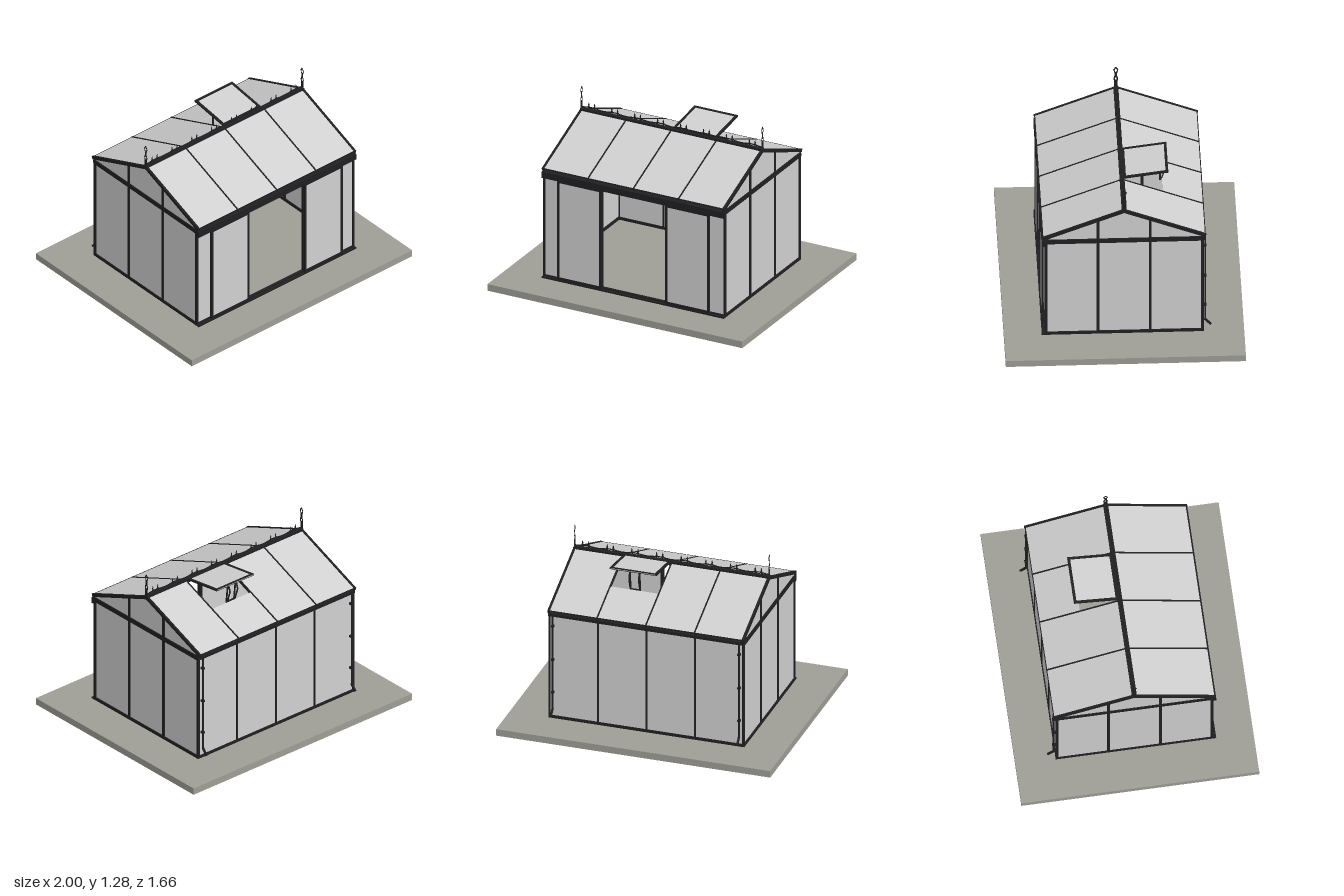
import * as THREE from 'three';

export function createModel() {
  const root = new THREE.Group();
  root.name = 'greenhouse';

  const mat = (name, color, side = THREE.FrontSide) => {
    const m = new THREE.MeshStandardMaterial({ color, side });
    m.name = name;
    return m;
  };
  const stone = mat('concrete', 0x9e9e96);
  const black = mat('black frame', 0x202022, THREE.DoubleSide);
  const glass = mat('frosted glass', 0xd0d0d0, THREE.DoubleSide);

  const add = (name, geo, m) => {
    const mesh = new THREE.Mesh(geo, m);
    mesh.name = name;
    root.add(mesh);
    return mesh;
  };
  // Axis-aligned box from its limits
  const box = (name, m, x0, x1, y0, y1, z0, z1) => {
    const b = add(name, new THREE.BoxGeometry(x1 - x0, y1 - y0, z1 - z0), m);
    b.position.set((x0 + x1) / 2, (y0 + y1) / 2, (z0 + z1) / 2);
    return b;
  };
  // Sloping bar in a plane of constant x, between [y, z] points
  const bar = (name, m, x, [y0, z0], [y1, z1], w, h) => {
    const b = add(name, new THREE.BoxGeometry(w, h, Math.hypot(y1 - y0, z1 - z0)), m);
    b.position.set(x, (y0 + y1) / 2, (z0 + z1) / 2);
    b.rotation.x = -Math.atan2(y1 - y0, z1 - z0);
    return b;
  };
  const shapeOf = pts => new THREE.Shape(pts.map(p => new THREE.Vector2(p[0], p[1])));

  // Slab
  box('slab', stone, -1, 1, 0, 0.05, -0.83, 0.83);

  const W = 0.715, D = 0.55;
  const roofY = z => 1.108 - 0.4 * Math.abs(z);

  // Base sills, eaves and corner posts
  for (const s of [-1, 1]) {
    const z = s * (D - 0.01), x = s * (W - 0.0075);
    box('longSill', black, -W, W, 0.055, 0.075, z - 0.01, z + 0.01);
    box('longEave', black, -W, W, 0.84, 0.862, z - 0.015, z + 0.015);
    box('gableSill', black, x - 0.0075, x + 0.0075, 0.055, 0.078, -D, D);
    box('gableTie', black, x - 0.0075, x + 0.0075, 0.835, 0.87, -D, D);
    for (const t of [-1, 1]) {
      const zc = t * (D - 0.01);
      box('cornerPost', black, x - 0.0075, x + 0.0075, 0.055, 0.85, zc - 0.01, zc + 0.01);
    }

    // Gable glazing and mullions
    const gable = add('gableGlass', new THREE.ShapeGeometry(shapeOf([
      [-0.54, 0.06], [0.54, 0.06], [0.54, roofY(0.54) - 0.01], [0, 1.1], [-0.54, roofY(0.54) - 0.01]])), glass);
    gable.rotation.y = s * Math.PI / 2;
    gable.position.x = x;
    for (const t of [-0.18, 0.18])
      box('gableMullion', black, x - 0.007, x + 0.007, 0.06, roofY(t), t - 0.01, t + 0.01);
  }

  // Back wall
  box('backGlass', glass, -0.7, 0.7, 0.06, 0.85, -0.542, -0.538);
  for (const x of [-0.355, 0, 0.355])
    box('backMullion', black, x - 0.006, x + 0.006, 0.06, 0.85, -0.55, -0.532);

  // Front wall: fixed panes, sliding doors slid open, and their track
  box('doorTrack', black, -W, W, 0.815, 0.836, 0.535, 0.57);
  box('frontGutter', black, -W, W, 0.836, 0.862, 0.54, 0.57);
  for (const s of [-1, 1]) {
    const span = (name, m, a, b, ...r) => box(name, m, Math.min(s * a, s * b), Math.max(s * a, s * b), ...r);
    span('frontGlass', glass, 0.26, 0.7, 0.06, 0.84, 0.538, 0.542);
    span('doorJamb', black, 0.25, 0.266, 0.06, 0.84, 0.532, 0.55);
    span('doorGlass', glass, 0.26, 0.59, 0.07, 0.82, 0.557, 0.561);
    span('doorStile', black, 0.25, 0.266, 0.065, 0.82, 0.552, 0.567);
    span('doorStile', black, 0.58, 0.596, 0.065, 0.82, 0.552, 0.567);
    span('doorRail', black, 0.25, 0.596, 0.065, 0.085, 0.552, 0.567);
    span('doorRail', black, 0.25, 0.596, 0.803, 0.82, 0.552, 0.567);
  }
  box('doorThreshold', black, -W, W, 0.055, 0.066, 0.54, 0.57);

  // Roof glazing: the vent bay at the back is open in its upper half
  const pane = (x0, x1, z0, z1) => bar('roofGlass', glass, (x0 + x1) / 2,
    [roofY(z0), z0], [roofY(z1), z1], x1 - x0, 0.004);
  pane(-0.71, 0.71, 0.005, 0.56);
  pane(-0.71, 0, -0.56, -0.005);
  pane(0.355, 0.71, -0.56, -0.005);
  pane(0, 0.355, -0.56, -0.28);

  // Rafters, ridge
  for (const s of [-1, 1]) {
    for (const x of [-0.355, 0, 0.355])
      bar('rafter', black, x, [roofY(0) - 0.004, 0], [roofY(0.56) - 0.004, s * 0.562], 0.01, 0.018);
    for (const x of [-0.708, 0.708])
      bar('gableRafter', black, x, [roofY(0) - 0.005, 0], [roofY(0.565) - 0.005, s * 0.565], 0.016, 0.024);
    box('roofEdge', black, -W, W, 0.88, 0.887, s * 0.56 - 0.004, s * 0.56 + 0.004);
  }
  box('ridge', black, -W, W, 1.09, 1.118, -0.017, 0.017);

  // Ridge cresting: wavy strip with pairs of flat spikes
  const wave = [], under = [];
  for (let i = 0; i <= 64; i++) {
    const x = -0.71 + 1.42 * i / 64, y = 1.132 + 0.004 * Math.cos((x + 0.63) / 0.09 * Math.PI);
    wave.push([x, y + 0.004]);
    under.unshift([x, y - 0.005]);
  }
  add('cresting', new THREE.ShapeGeometry(shapeOf([...wave, ...under])), black);
  const spike = new THREE.ShapeGeometry(shapeOf([
    [-0.004, 1.11], [0.004, 1.11], [0.004, 1.135], [0.01, 1.14], [0.004, 1.146],
    [0.006, 1.154], [0, 1.172], [-0.006, 1.154], [-0.004, 1.146], [-0.01, 1.14], [-0.004, 1.135]]));
  for (let i = 0; i < 8; i++)
    for (const d of [-0.0225, 0.0225])
      add('crestSpike', spike, black).position.x = -0.63 + 0.18 * i + d;

  // Flat finials at both ridge ends
  const half = [[0.013, 1.1], [0.013, 1.165], [0.017, 1.185], [0.009, 1.21], [0.009, 1.23], [0.018, 1.26], [0.005, 1.283]];
  const finial = shapeOf([...half, ...half.map(([x, y]) => [-x, y]).reverse()]);
  for (const [y, r, h] of [[1.184, 0.007, 0.013], [1.255, 0.009, 0.016]])
    finial.holes.push(new THREE.Path([[0, -h], [-r, 0], [0, h], [r, 0]].map(p => new THREE.Vector2(p[0], y + p[1]))));
  for (const x of [-0.71, 0.71]) {
    const f = add('finial', new THREE.ShapeGeometry(finial), black);
    f.rotation.y = Math.PI / 2;
    f.position.x = x;
  }

  // Open roof vent with frame
  const hinge = [1.115, -0.01], tip = [1.158, -0.32];
  const at = z => [hinge[0] + (tip[0] - hinge[0]) * (z - hinge[1]) / (tip[1] - hinge[1]), z];
  bar('ventGlass', glass, 0.175, hinge, tip, 0.33, 0.004);
  for (const x of [0.013, 0.337]) bar('ventSide', black, x, hinge, tip, 0.018, 0.012);
  bar('ventTop', black, 0.175, hinge, at(-0.028), 0.342, 0.012);
  bar('ventBottom', black, 0.175, at(-0.302), tip, 0.342, 0.012);

  // Vent opener arms
  for (const x of [0.14, 0.21]) {
    bar('ventArm', black, x, [0.99, -0.265], [1.145, -0.282], 0.008, 0.009);
    bar('ventArm', black, x, [1.005, -0.278], [1.09, -0.305], 0.008, 0.007);
    bar('ventArm', black, x, [1.09, -0.305], [1.15, -0.285], 0.008, 0.007);
  }
  box('ventArmLink', black, 0.136, 0.214, 0.99, 1, -0.275, -0.262);

  // Rear downpipes with clips and angled spouts
  for (const x of [-0.68, 0.68]) {
    const pipe = add('downpipe', new THREE.CylinderGeometry(0.006, 0.006, 0.735, 10), black);
    pipe.position.set(x, 0.4975, -0.561);
    bar('spout', black, x, [0.135, -0.559], [0.09, -0.6], 0.013, 0.013);
    for (const y of [0.26, 0.51, 0.77])
      box('pipeClip', black, x - 0.01, x + 0.01, y - 0.007, y + 0.007, -0.57, -0.545);
  }
  return root;
}
